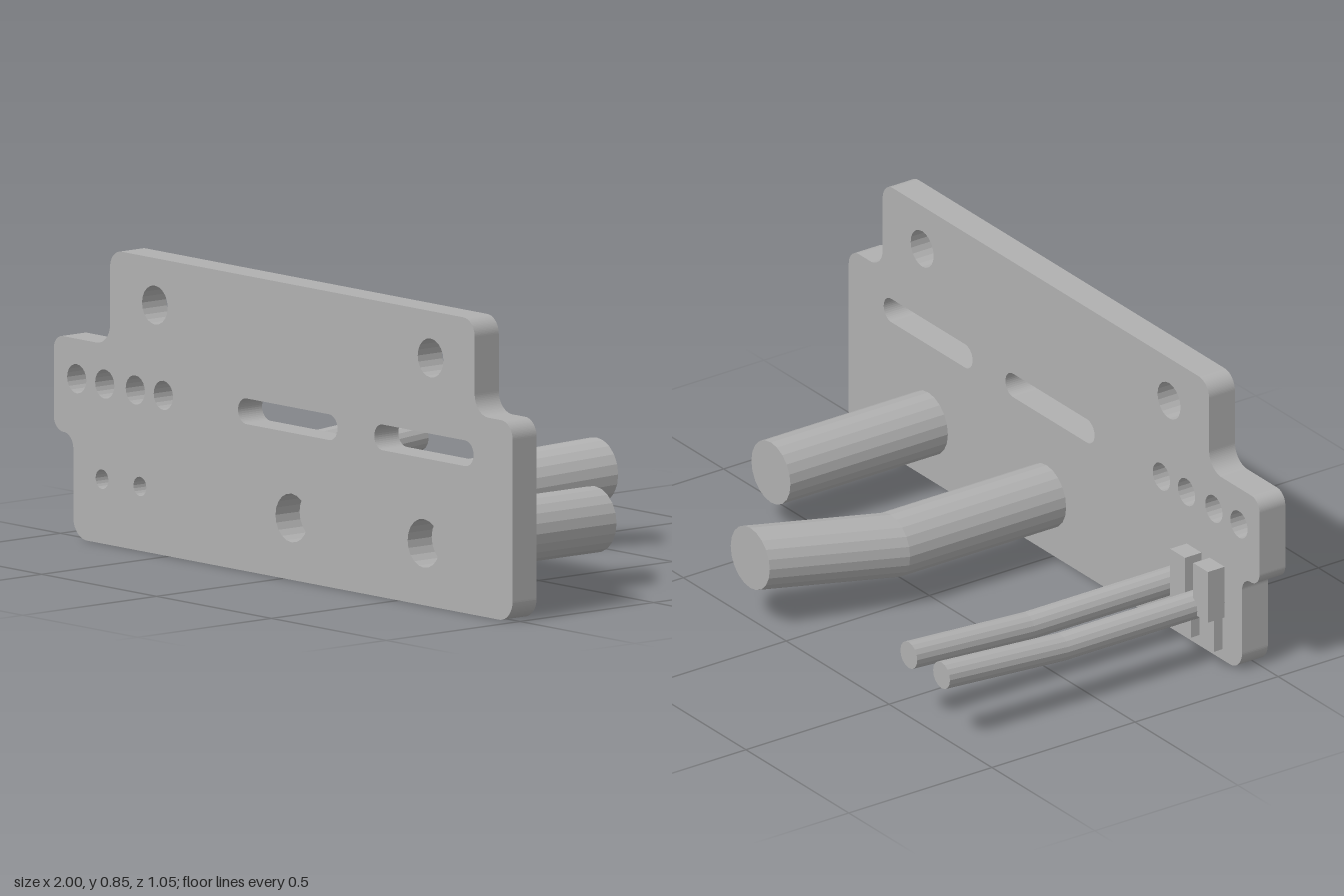
import * as THREE from 'three';

const FRONT = 0.525, BACK = 0.435, END = -0.525, BEND = -0.11;

// Closed outline with a quadratic-free true arc at every corner; each corner is [x, y, radius]
function roundedOutline(corners) {
  const shape = new THREE.Shape();
  const n = corners.length;
  corners.forEach(([x, y, r], i) => {
    const p = new THREE.Vector2(x, y);
    const a = new THREE.Vector2(...corners[(i + n - 1) % n].slice(0, 2)).sub(p).normalize();
    const b = new THREE.Vector2(...corners[(i + 1) % n].slice(0, 2)).sub(p).normalize();
    const start = p.clone().addScaledVector(a, r);
    const end = p.clone().addScaledVector(b, r);
    const c = start.clone().addScaledVector(b, r);
    if (i === 0) shape.moveTo(start.x, start.y);
    else shape.lineTo(start.x, start.y);
    const clockwise = a.x * b.y - a.y * b.x > 0;
    shape.absarc(c.x, c.y, r, Math.atan2(start.y - c.y, start.x - c.x),
      Math.atan2(end.y - c.y, end.x - c.x), clockwise);
  });
  shape.closePath();
  return shape;
}

function roundHole(x, y, r) {
  return new THREE.Path().absarc(x, y, r, 0, Math.PI * 2, true);
}

function slotHole(x0, x1, y, r) {
  const path = new THREE.Path();
  path.absarc(x0 + r, y, r, -Math.PI / 2, Math.PI / 2, true);
  path.absarc(x1 - r, y, r, Math.PI / 2, -Math.PI / 2, true);
  path.closePath();
  return path;
}

// Rod running backwards from the plate; past the bend its sections shift by (dx, dy)
function rodGeometry(x, y, r, end, dx, dy, sides) {
  const bent = dx !== 0 || dy !== 0;
  const geo = new THREE.CylinderGeometry(r, r, 1, sides, bent ? 2 : 1);
  geo.rotateX(Math.PI / 2);
  const pos = geo.attributes.position;
  for (let i = 0; i < pos.count; i++) {
    const t = pos.getZ(i);
    const back = t < -0.25, middle = Math.abs(t) < 0.25;
    pos.setXYZ(i,
      pos.getX(i) + x + (back ? dx : 0),
      pos.getY(i) + y + (back ? dy : 0),
      back ? end : middle ? BEND : BACK);
  }
  geo.computeVertexNormals();
  return geo;
}

export function createModel() {
  const model = new THREE.Group();
  const grey = new THREE.MeshStandardMaterial({ color: 0xb0b0b0, flatShading: true });
  grey.name = 'grey';
  const add = (name, geometry) => {
    const mesh = new THREE.Mesh(geometry, grey);
    mesh.name = name;
    model.add(mesh);
  };

  // Mounting plate, counter-clockwise from the bottom left corner
  const plate = roundedOutline([
    [-0.915, 0, 0.06], [0.997, 0, 0.06], [0.997, 0.575, 0.05], [0.832, 0.575, 0.06],
    [0.832, 0.85, 0.05], [-0.755, 0.85, 0.05], [-0.755, 0.575, 0.06], [-1, 0.575, 0.04],
    [-1, 0.3, 0.042], [-0.915, 0.3, 0.042],
  ]);
  // Screw holes, row of small holes, slots
  for (const x of [-0.56, 0.64]) plate.holes.push(roundHole(x, 0.715, 0.056));
  for (const x of [-0.9, -0.778, -0.645, -0.523]) plate.holes.push(roundHole(x, 0.46, 0.042));
  plate.holes.push(slotHole(-0.198, 0.235, 0.46, 0.037), slotHole(0.395, 0.827, 0.46, 0.037));
  // Blind sockets, closed at the back by the rods
  const rods = [
    ['bentPeg', 0.035, 0.178, 0.095, END, 0.105, 0.036, 20, 0.07],
    ['shortPeg', 0.61, 0.178, 0.095, -0.115, 0, 0, 20, 0.07],
    ['outerThinRod', -0.79, 0.185, 0.041, END, 0, 0.03, 16, 0.028],
    ['innerThinRod', -0.625, 0.185, 0.041, END, -0.006, 0.03, 16, 0.028],
  ];
  for (const [, x, y, , , , , , hole] of rods) plate.holes.push(roundHole(x, y, hole));
  const plateGeo = new THREE.ExtrudeGeometry(plate,
    { depth: FRONT - BACK, bevelEnabled: false, curveSegments: 10 });
  plateGeo.translate(0, 0, BACK);
  add('plate', plateGeo);

  // Pegs and thin rods
  for (const [name, x, y, r, end, dx, dy, sides] of rods) {
    add(name, rodGeometry(x, y, r, end, dx, dy, sides));
  }

  // Pair of clip blocks straddling the outer thin rod, each with a thinner foot
  for (const [name, x] of [['outerClip', -0.847], ['innerClip', -0.735]]) {
    const block = new THREE.BoxGeometry(0.072, 0.16, 0.058);
    block.translate(x, 0.25, 0.368);
    add(name + 'Block', block);
    const foot = new THREE.BoxGeometry(0.05, 0.105, 0.029);
    foot.translate(x, 0.1175, 0.3825);
    add(name + 'Foot', foot);
  }

  return model;
}
